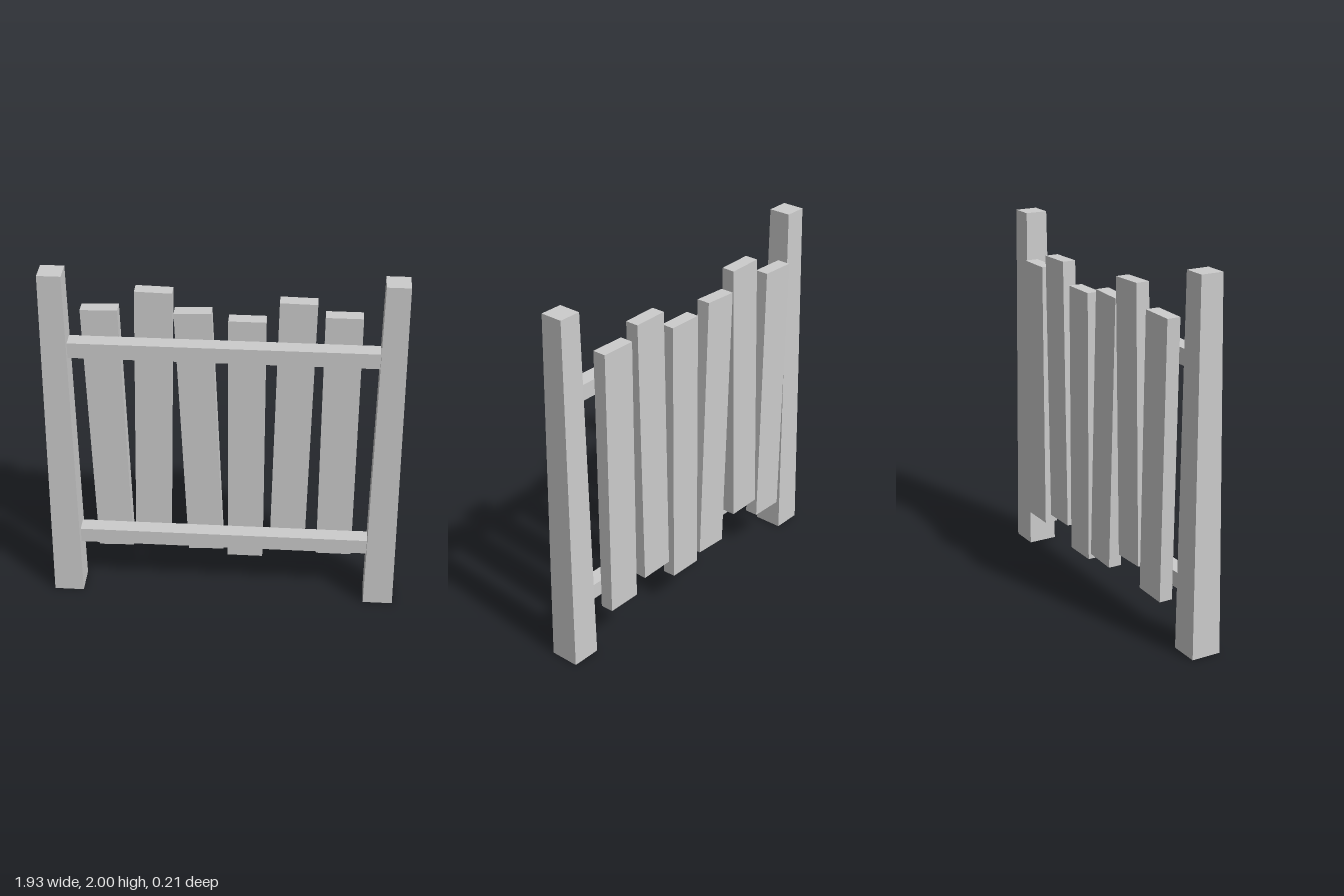
import * as THREE from 'three';

export function createModel() {
  const fence = new THREE.Group();
  fence.name = 'fence';
  const material = new THREE.MeshStandardMaterial({ color: 0xcccccc, flatShading: true });

  const add = (name, geometry, x, y, z) => {
    const mesh = new THREE.Mesh(geometry, material);
    mesh.name = name;
    mesh.position.set(x, y, z);
    fence.add(mesh);
    return mesh;
  };

  // Square posts, tapering towards the top
  const postGeometry = new THREE.CylinderGeometry(0.125 / Math.SQRT2, 0.165 / Math.SQRT2, 2, 4);
  postGeometry.rotateY(Math.PI / 4);
  add('leftPost', postGeometry, 0.8825, 1, 0.0215);
  add('rightPost', postGeometry, -0.8825, 1, 0.0215);

  // Rails, let into the posts
  const railGeometry = new THREE.BoxGeometry(1.7, 0.087, 0.09);
  add('upperRail', railGeometry, 0, 1.557, 0.015);
  add('lowerRail', railGeometry, 0, 0.357, 0.015);

  // Planks behind the rails: [centre x, centre y, sideways lean of the top]
  const length = 1.519;
  const plankGeometry = new THREE.BoxGeometry(0.197, length, 0.075);
  const planks = [
    [-0.636, 0.994, -0.038],
    [-0.385, 1.108, 0.036],
    [-0.134, 0.992, -0.062],
    [0.119, 0.955, 0],
    [0.371, 1.07, 0.027],
    [0.622, 0.995, 0],
  ];
  planks.forEach(([x, y, lean], i) => {
    const plank = add(`plank${i + 1}`, plankGeometry, x, y, -0.0665);
    plank.rotation.z = -Math.asin(lean / length);
  });

  return fence;
}
